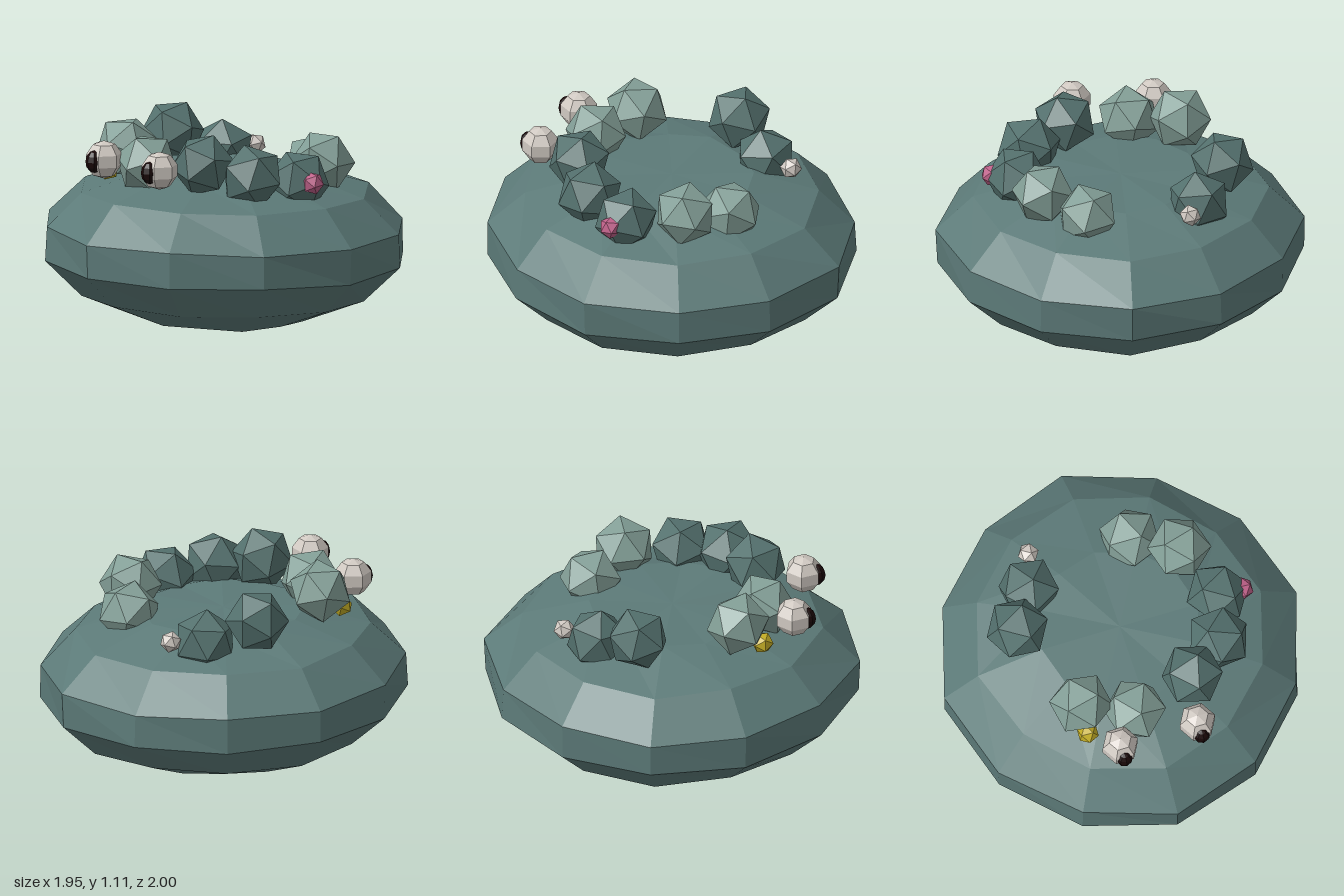
import * as THREE from 'three';

const mat = (name, color) => {
  const m = new THREE.MeshStandardMaterial({ color });
  m.name = name;
  return m;
};

// Faceted copy of a geometry
const facet = (geometry) => {
  const g = geometry.index ? geometry.toNonIndexed() : geometry;
  g.computeVertexNormals();
  return g;
};

// Squat boulder: 12 sides, round belly, flattened top, slightly uneven and tilted corners
const SIDES = 12;
const LEVELS = [0.845, 0.842, 0.74, 0.553, 0.37, 0.188, 0.053, 0]; // ring heights, top to bottom
function bodyGeometry() {
  const g = new THREE.SphereGeometry(1, SIDES, LEVELS.length - 1);
  const p = g.attributes.position;
  for (let i = 0; i < p.count; i++) {
    const ring = Math.floor(i / (SIDES + 1));
    const k = i % (SIDES + 1) % SIDES; // the seam column repeats the first
    const pole = ring === 0 || ring === LEVELS.length - 1;
    const x = p.getX(i);
    const z = p.getZ(i);
    const corner = 1 - 0.028 * Math.sin((k * 4 * Math.PI) / SIDES) ** 2;
    const r = corner * (1 + 0.006 * Math.sin(k * 2.3 + ring * 4.1));
    const dy = pole ? 0 : 0.012 * (z - x) + 0.007 * Math.sin(k * 3.7 + ring * 1.9);
    p.setXYZ(i, x * r, LEVELS[ring] + dy, z * r * 1.022);
  }
  return facet(g);
}

export function createModel() {
  const model = new THREE.Group();
  model.name = 'creature';

  const skin = mat('skin', 0x5c7a78);
  const darkWart = mat('dark wart', 0x54716e);
  const paleWart = mat('pale wart', 0x839f97);
  const eyeWhite = mat('eye white', 0xd0c9c2);
  const pupilBlack = mat('pupil black', 0x1a0808);
  const yellow = mat('yellow', 0xc4ae26);
  const pink = mat('pink', 0xc0618a);

  const add = (name, geometry, material, x = 0, y = 0, z = 0) => {
    const mesh = new THREE.Mesh(geometry, material);
    mesh.name = name;
    mesh.position.set(x, y, z);
    model.add(mesh);
    return mesh;
  };

  add('body', bodyGeometry(), skin);

  // Ring of warts on the back: x, y, z, radius, material
  const warts = [
    [0.205, 0.84, -0.46, 0.17, paleWart],
    [0.43, 0.90, -0.31, 0.17, paleWart],
    [0.55, 0.85, -0.02, 0.17, darkWart],
    [0.47, 0.895, 0.24, 0.175, darkWart],
    [0.27, 0.955, 0.41, 0.17, darkWart],
    [-0.075, 0.925, 0.495, 0.17, paleWart],
    [-0.34, 0.965, 0.39, 0.17, paleWart],
    [-0.53, 0.955, -0.12, 0.17, darkWart],
    [-0.39, 0.845, -0.355, 0.17, darkWart],
  ];
  const wartShape = new THREE.IcosahedronGeometry(1, 0);
  warts.forEach(([x, y, z, r, m], i) => {
    const wart = add('wart', wartShape, m, x, y, z);
    wart.scale.setScalar(r);
    wart.rotation.set(0.4 + i * 1.3, i * 2.1, 0.3 + i * 0.7);
  });

  // Small coloured nubs
  [
    ['yellowNub', yellow, -0.345, 0.86, 0.52, 0.06],
    ['pinkNub', pink, 0.68, 0.86, 0, 0.062],
    ['paleNub', eyeWhite, -0.335, 0.857, -0.535, 0.058],
  ].forEach(([name, m, x, y, z, r], i) => {
    const nub = add(name, wartShape, m, x, y, z);
    nub.scale.setScalar(r);
    nub.rotation.set(0.5 + i, i * 1.4, 0.2);
  });

  // Eyes with dark pupils facing forward
  const eyeShape = facet(new THREE.SphereGeometry(0.102, 6, 5));
  const pupilShape = facet(new THREE.SphereGeometry(0.05, 8, 6));
  for (const side of [-1, 1]) {
    add('eye', eyeShape, eyeWhite, side * 0.214, 0.95, 0.672);
    const pupil = add('pupil', pupilShape, pupilBlack, side * 0.214, 0.947, 0.742);
    pupil.scale.set(0.92, 1.2, 0.95);
  }

  return model;
}
